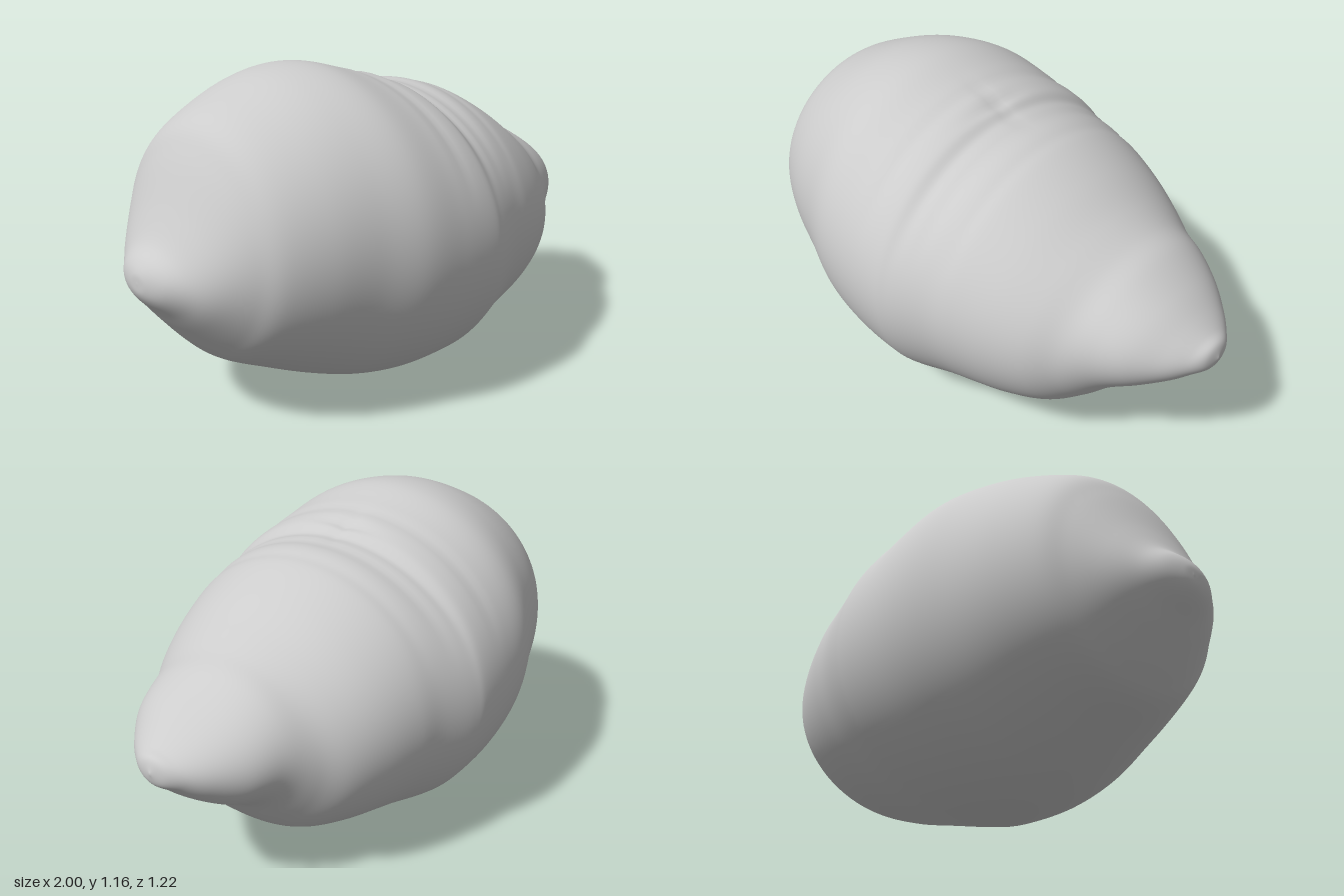
import * as THREE from 'three';
import { mergeVertices } from 'three/addons/utils/BufferGeometryUtils.js';

// Cross-sections along the fruit: x, top y, bottom y, half depth
const STATIONS = [
  [-1, 0.555, 0.555, 0], [-0.996, 0.59, 0.52, 0.045], [-0.975, 0.625, 0.485, 0.11],
  [-0.93, 0.67, 0.435, 0.18], [-0.88, 0.76, 0.375, 0.25], [-0.8, 0.925, 0.285, 0.34],
  [-0.73, 1.02, 0.225, 0.41], [-0.6, 1.09, 0.16, 0.48], [-0.45, 1.145, 0.09, 0.535],
  [-0.3, 1.16, 0.035, 0.59], [-0.15, 1.125, 0.005, 0.608], [0, 1.088, 0.004, 0.61],
  [0.07, 1.055, 0.014, 0.598], [0.2, 1.04, 0.045, 0.555], [0.3, 1.01, 0.07, 0.53],
  [0.42, 0.95, 0.1, 0.49], [0.54, 0.875, 0.148, 0.435], [0.63, 0.825, 0.225, 0.37],
  [0.72, 0.792, 0.315, 0.305], [0.82, 0.725, 0.38, 0.245], [0.9, 0.662, 0.44, 0.175],
  [0.95, 0.625, 0.485, 0.115], [0.985, 0.605, 0.515, 0.06], [1, 0.56, 0.56, 0],
];
const RINGS = 180, SIDES = 128;
const bell = (d, width) => Math.exp(-((d / width) ** 2));

// Shallow puckers in the rind, deepest over the crown
function rindOffset(x, y, z) {
  const crown = THREE.MathUtils.smoothstep(y, 0.7, 1.0);
  let d = 0;
  for (const [cx, depth] of [[-0.09, 0.006], [0.06, 0.008], [0.13, 0.006], [0.24, 0.004]]) {
    d -= crown * depth * bell(x - cx - 0.03 * z, 0.025);
  }
  d -= crown * 0.014 * bell(x, 0.025) * bell(z, 0.12); // crease across the crown dimple
  d -= crown * 0.008 * bell(z, 0.025) * bell(x, 0.1);
  // Soft twisting ridges towards the stem tip
  const twist = Math.atan2(z, y - 0.56);
  d += 0.008 * bell(x - 0.72, 0.16) * Math.sin(2 * twist + 14 * x);
  return d;
}

function buildRind() {
  const outline = new THREE.CatmullRomCurve3(
    STATIONS.map(([x, top, bottom]) => new THREE.Vector3(x, top, bottom)), false, 'catmullrom', 0.5);
  const depth = new THREE.SplineCurve(STATIONS.map(([x, , , w]) => new THREE.Vector2(x, w)));
  const positions = [], index = [];

  for (let i = 0; i <= RINGS; i++) {
    const t = i / RINGS;
    const { x, y: top, z: bottom } = outline.getPoint(t);
    const pole = i === 0 || i === RINGS;
    const w = pole ? 0 : depth.getPoint(t).y;
    const midY = (top + bottom) / 2, h = pole ? 0 : (top - bottom) / 2;
    for (let j = 0; j < SIDES; j++) {
      const a = (j / SIDES) * Math.PI * 2;
      const c = Math.cos(a), s = Math.sin(a);
      const d = pole ? 0 : rindOffset(x, midY + h * c, w * s);
      positions.push(x, midY + (h + d) * c, (w + d) * s);
      if (i < RINGS) {
        const p = i * SIDES + j, q = i * SIDES + ((j + 1) % SIDES);
        if (i > 0) index.push(p, q, p + SIDES);
        if (i < RINGS - 1) index.push(q, q + SIDES, p + SIDES);
        if (i === 0) index.push(p, q + SIDES, p + SIDES);
      }
    }
  }
  // The first ring's fan already covers the cap, so drop its duplicate faces
  const faces = index.filter((_, k) => k >= SIDES * 6 || k % 6 >= 3);
  let geometry = new THREE.BufferGeometry();
  geometry.setAttribute('position', new THREE.Float32BufferAttribute(positions, 3));
  geometry.setIndex(faces);
  geometry = mergeVertices(geometry, 1e-5);
  geometry.computeVertexNormals();
  return geometry;
}

export function createModel() {
  const rindGrey = new THREE.MeshStandardMaterial({ color: 0xcccccc });
  rindGrey.name = 'rindGrey';
  const rind = new THREE.Mesh(buildRind(), rindGrey);
  rind.name = 'rind';
  const model = new THREE.Group();
  model.name = 'lemon';
  model.add(rind);
  return model;
}
